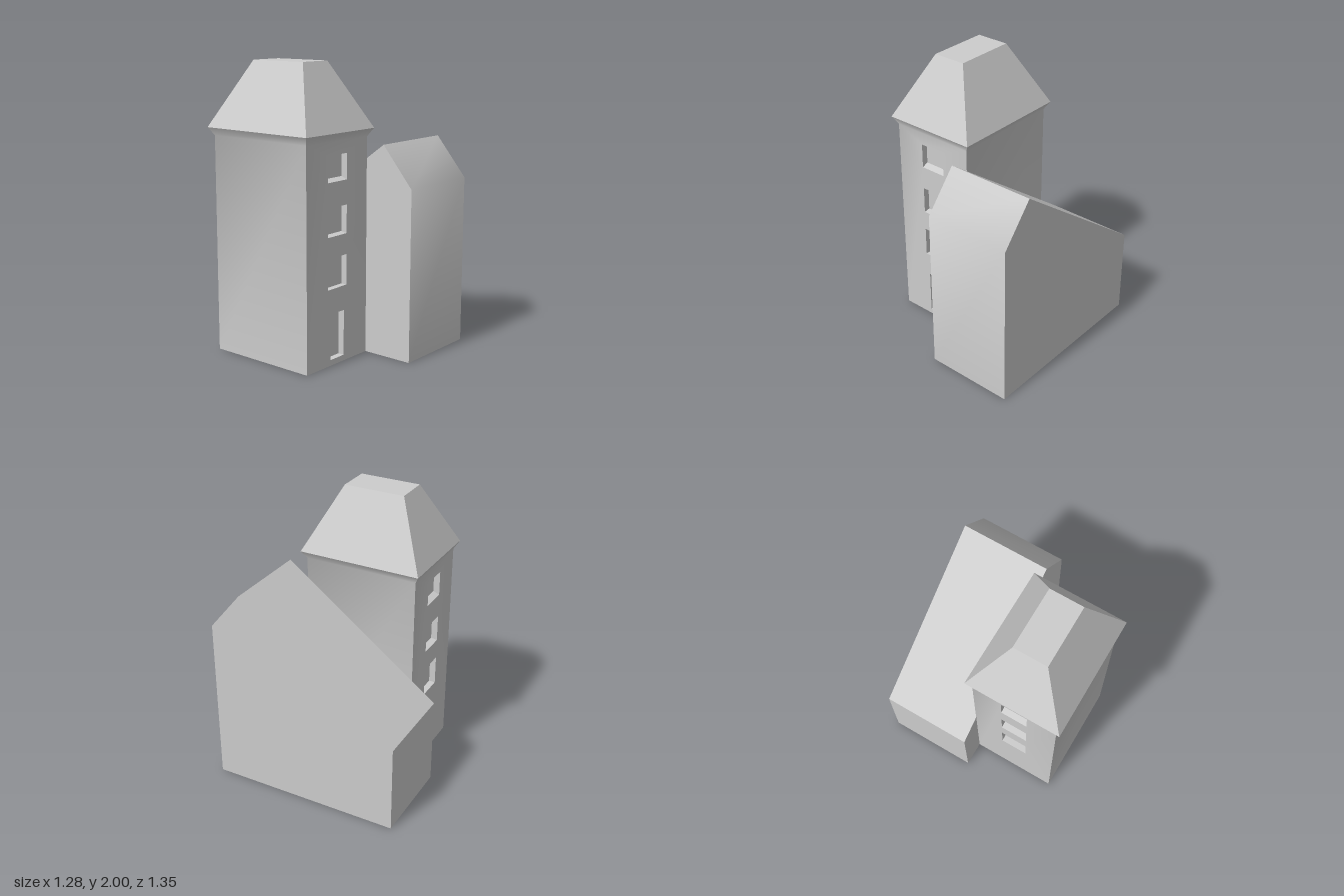
import * as THREE from 'three';
import { mergeGeometries, toCreasedNormals } from 'three/addons/utils/BufferGeometryUtils.js';

const CREASE = Math.PI / 4;
const HX = 0.307, HZ = 0.406;       // tower half width and half depth
const WALL_TOP = 1.5, DEPTH = 0.045; // wall height, recess depth

// Openings: x0, x1, y0, y1, rise of the sloping sill
const WINDOWS = [
  [-0.095, 0.095, 1.237, 1.412, 0.018],
  [-0.095, 0.095, 0.877, 1.07, 0.008],
  [-0.095, 0.095, 0.525, 0.735, 0],
];
const DOOR = [-0.07, 0.067, 0.04, 0.355, 0];

// Quads with corners counter-clockwise as seen from outside
function quads(list) {
  const pos = [];
  for (const [a, b, c, d] of list) pos.push(...a, ...b, ...c, ...a, ...c, ...d);
  const g = new THREE.BufferGeometry();
  g.setAttribute('position', new THREE.Float32BufferAttribute(pos, 3));
  return g;
}

// Rectangle of four corners at a height
const ring = (x, z, y) => [[-x, y, z], [x, y, z], [x, y, -z], [-x, y, -z]];

// Wall pierced by openings, facing +z
function piercedWall(openings) {
  const rect = (P, x0, x1, y0, y1) => new P([[x0, y0], [x1, y0], [x1, y1], [x0, y1]]
    .map(([x, y]) => new THREE.Vector2(x, y)));
  const shape = rect(THREE.Shape, -HX, HX, 0, WALL_TOP);
  for (const [x0, x1, y0, y1] of openings) shape.holes.push(rect(THREE.Path, x0, x1, y0, y1));
  const g = new THREE.ShapeGeometry(shape).toNonIndexed();
  g.deleteAttribute('uv');
  g.deleteAttribute('normal');
  return g.translate(0, 0, HZ);
}

// Inside faces and back pane of one recess
function recess([x0, x1, y0, y1, rise]) {
  const f = HZ, b = HZ - DEPTH, s = y0 + rise;
  const F = [[x0, y0, f], [x1, y0, f], [x1, y1, f], [x0, y1, f]];
  const B = [[x0, s, b], [x1, s, b], [x1, y1, b], [x0, y1, b]];
  const list = [B];
  for (let i = 0; i < 4; i++) {
    const j = (i + 1) % 4;
    list.push([F[i], F[j], B[j], B[i]]);
  }
  return quads(list);
}

export function createModel() {
  const model = new THREE.Group();
  const plaster = new THREE.MeshStandardMaterial({ color: 0xcccccc });
  plaster.name = 'light grey';

  const add = (parent, name, geometry) => {
    const mesh = new THREE.Mesh(toCreasedNormals(geometry, CREASE), plaster);
    mesh.name = name;
    parent.add(mesh);
  };

  const tower = new THREE.Group();
  tower.name = 'tower';
  tower.position.set(-0.3, 0, -0.098);
  model.add(tower);

  // Walls, flared eaves and truncated hip roof as one shell
  const rings = [ring(HX, HZ, 0), ring(HX, HZ, WALL_TOP), ring(0.342, 0.438, 1.555), ring(0.12, 0.218, 2)];
  const list = [[...rings[0]].reverse(), rings[3]];
  for (let k = 0; k < 3; k++) {
    for (let i = 0; i < 4; i++) {
      if (k === 0 && i % 2 === 0) continue; // front and back walls are pierced
      const j = (i + 1) % 4;
      list.push([rings[k][i], rings[k][j], rings[k + 1][j], rings[k + 1][i]]);
    }
  }
  add(tower, 'towerShell', mergeGeometries([
    quads(list),
    piercedWall([...WINDOWS, DOOR]),
    piercedWall(WINDOWS).rotateY(Math.PI),
  ]));

  // Recessed windows front and back, door at the front
  WINDOWS.forEach((w, i) => {
    add(tower, `frontWindow${i + 1}`, recess(w));
    add(tower, `backWindow${i + 1}`, recess(w).rotateY(Math.PI));
  });
  add(tower, 'door', recess(DOOR));

  // House wing: side profile (z, y) extruded across x
  const profile = new THREE.Shape([[-0.676, 0], [0.676, 0], [0.676, 1.18], [0.447, 1.455], [-0.676, 0.628]]
    .map(([z, y]) => new THREE.Vector2(z, y)));
  const wing = new THREE.ExtrudeGeometry(profile, { depth: 0.634, bevelEnabled: false });
  add(model, 'houseWing', wing.rotateY(-Math.PI / 2).translate(0.64, 0, 0));

  return model;
}
